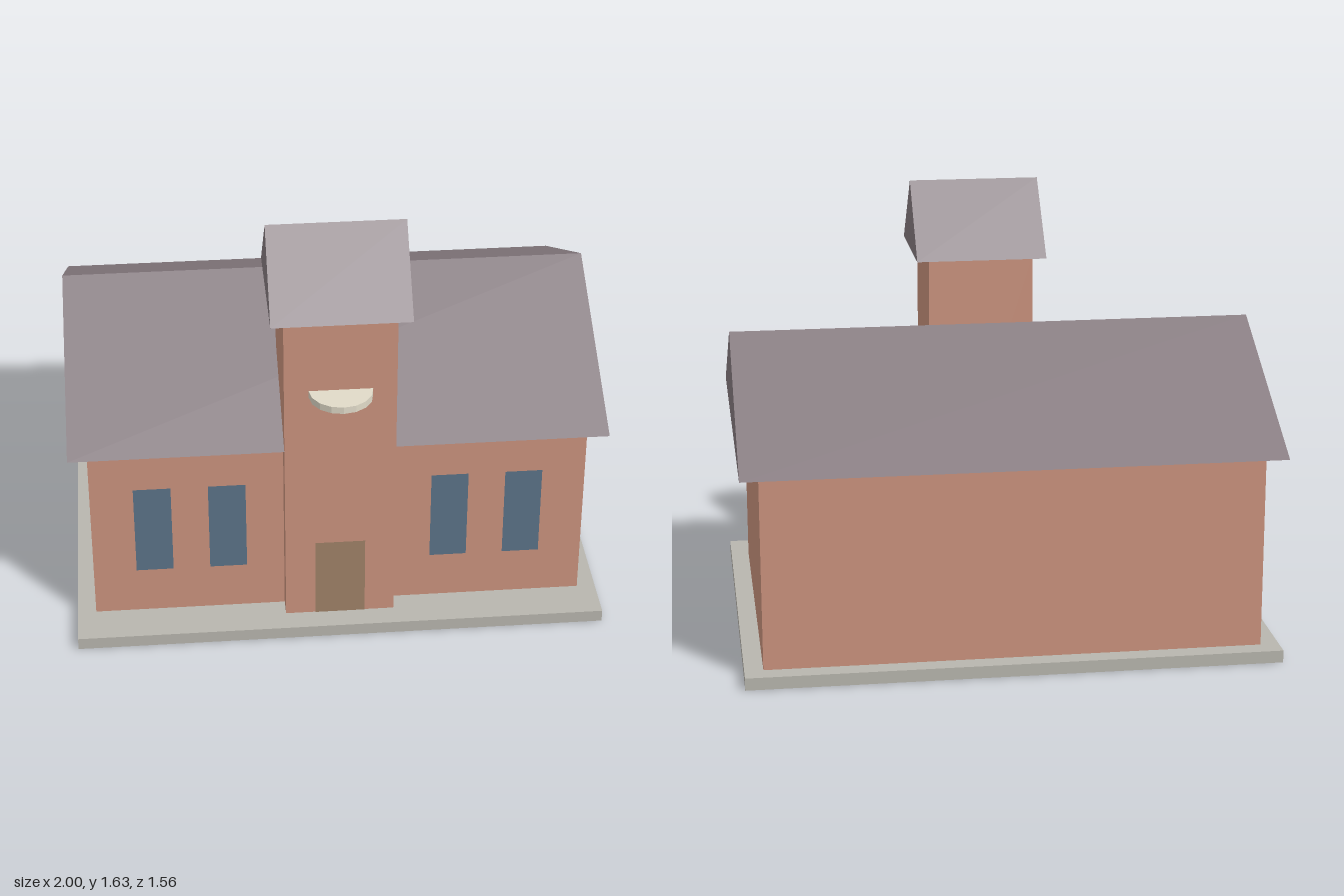
import * as THREE from 'three';

const mat = (color) => new THREE.MeshStandardMaterial({ color, flatShading: true, side: THREE.DoubleSide });
const brick = mat(0xcb937e);
const slate = mat(0x877c81);
const stone = mat(0xb8b6ae);
const glass = mat(0x5b7388);
const wood = mat(0x9f8168);
const cream = mat(0xe0dac8);

const TOP = 2, BOTTOM = 3; // face numbers of a box

// Hollow box given by its limits on each axis, with some faces left open
function shell(name, material, [x0, x1], [y0, y1], [z0, z1], open) {
  const geometry = new THREE.BoxGeometry(x1 - x0, y1 - y0, z1 - z0);
  const kept = Array.from(geometry.index.array).filter((_, i) => !open.includes(Math.floor(i / 6)));
  geometry.setIndex(kept);
  geometry.clearGroups();
  const mesh = new THREE.Mesh(geometry, material);
  mesh.position.set((x0 + x1) / 2, (y0 + y1) / 2, (z0 + z1) / 2);
  mesh.name = name;
  return mesh;
}

// Gabled roof, open underneath: two slopes and two end triangles
function gable(name, h, z0, z1, y0, y1) {
  const corners = [-h, h].flatMap((x) => [x, y0, z0, x, y0, z1, x, y1, (z0 + z1) / 2]);
  const indexed = new THREE.BufferGeometry();
  indexed.setAttribute('position', new THREE.Float32BufferAttribute(corners, 3));
  indexed.setIndex([1, 4, 5, 1, 5, 2, 3, 0, 2, 3, 2, 5, 4, 3, 5, 0, 1, 2]);
  const geometry = indexed.toNonIndexed();
  geometry.computeVertexNormals();
  const mesh = new THREE.Mesh(geometry, slate);
  mesh.name = name;
  return mesh;
}

// Flat panel facing the front
function panel(name, material, x, width, y0, y1, z) {
  const mesh = new THREE.Mesh(new THREE.PlaneGeometry(width, y1 - y0), material);
  mesh.position.set(x, (y0 + y1) / 2, z);
  mesh.name = name;
  return mesh;
}

export function createModel() {
  const model = new THREE.Group();
  model.name = 'schoolhouse';

  // Foundation slab, hollow below, and main hall
  model.add(shell('foundation', stone, [-1, 1], [0, 0.047], [-0.782, 0.753], [BOTTOM]));
  model.add(shell('hallWalls', brick, [-0.93, 0.93], [0.047, 0.79], [-0.71, 0.59], [TOP, BOTTOM]));
  model.add(gable('hallRoof', 1, -0.78, 0.66, 0.79, 1.161));

  // Tower with its own roof
  model.add(shell('towerWalls', brick, [-0.207, 0.205], [0.047, 1.35], [0.243, 0.663], [TOP, BOTTOM]));
  model.add(gable('towerRoof', 0.255, 0.198, 0.706, 1.35, 1.627));

  // Round ledge, half sunk into the tower front
  const ledge = new THREE.Mesh(new THREE.CylinderGeometry(0.117, 0.117, 0.027, 16), cream);
  ledge.position.set(0, 1.039, 0.665);
  ledge.name = 'towerLedge';
  model.add(ledge);

  // Door and windows
  model.add(panel('door', wood, 0, 0.188, 0.047, 0.373, 0.665));
  for (const side of [-1, 1]) {
    for (const x of [0.419, 0.698]) {
      model.add(panel('window', glass, side * x, 0.14, 0.235, 0.605, 0.592));
    }
  }
  return model;
}
